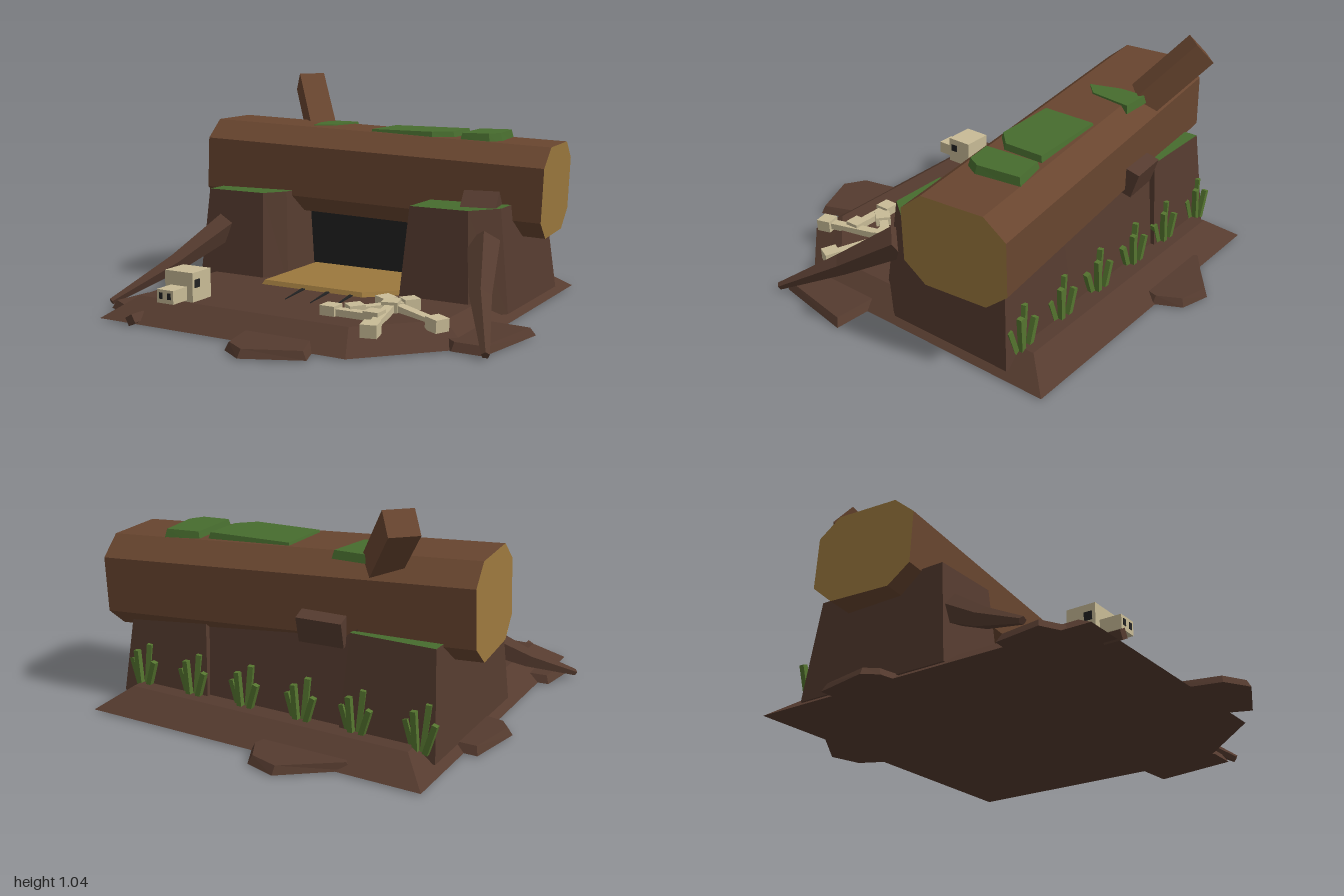
import * as THREE from 'three';

const mat = (name, color) => { const m = new THREE.MeshStandardMaterial({ color }); m.name = name; return m; };

export function createModel() {
  const bark = mat('dark bark', 0x553b2f), logBark = mat('log bark', 0x68452f);
  const wood = mat('cut wood', 0x9b783d), moss = mat('moss', 0x476c2e), grass = mat('grass', 0x55752f);
  const bone = mat('bone', 0xc8bb96), black = mat('shadow black', 0x222222);
  const root = new THREE.Group();
  root.name = 'logDen';

  const add = (name, geo, material, parent = root) => {
    const m = new THREE.Mesh(geo, material);
    m.name = name;
    parent.add(m);
    return m;
  };

  // Closed flat-faced solid through rings of equal point count; the last cap is group 1
  function loft(rings) {
    const pos = [], n = rings[0].length;
    const tri = (a, b, c) => pos.push(...a, ...b, ...c);
    for (let r = 0; r < rings.length - 1; r++) {
      const A = rings[r], B = rings[r + 1];
      for (let i = 0; i < n; i++) {
        const j = (i + 1) % n;
        tri(A[i], B[i], B[j]);
        tri(A[i], B[j], A[j]);
      }
    }
    const first = rings[0], last = rings[rings.length - 1];
    for (let i = 1; i < n - 1; i++) tri(first[0], first[i], first[i + 1]);
    const split = pos.length / 3;
    for (let i = 1; i < n - 1; i++) tri(last[0], last[i + 1], last[i]);
    const g = new THREE.BufferGeometry();
    g.setAttribute('position', new THREE.Float32BufferAttribute(pos, 3));
    g.addGroup(0, split, 0);
    g.addGroup(split, pos.length / 3 - split, 1);
    g.computeVertexNormals();
    return g;
  }

  // Upright block from a ground outline of [x, z], tapering to a second outline
  function block(name, outline, y0, y1, inset, side, top = side, upper = null) {
    const xs = outline.map(p => p[0]), zs = outline.map(p => p[1]);
    const mid = a => (Math.min(...a) + Math.max(...a)) / 2, half = a => (Math.max(...a) - Math.min(...a)) / 2;
    const cx = mid(xs), cz = mid(zs), sx = 1 - inset / half(xs), sz = 1 - inset / half(zs);
    upper = upper || outline.map(([x, z]) => [cx + (x - cx) * sx, cz + (z - cz) * sz]);
    let area = 0;
    outline.forEach(([x, z], i) => { const q = outline[(i + 1) % outline.length]; area += x * q[1] - q[0] * z; });
    const lift = (pts, y) => { const r = pts.map(([x, z]) => [x, y, z]); return area < 0 ? r.reverse() : r; };
    return add(name, loft([lift(outline, y0), lift(upper, y1)]), [side, top]);
  }

  // Straight box running from a to b
  function beam(name, a, b, w, h, material, parent = root) {
    const A = new THREE.Vector3(...a), B = new THREE.Vector3(...b);
    const m = add(name, new THREE.BoxGeometry(w, h, A.distanceTo(B)), material, parent);
    m.position.copy(A).add(B).multiplyScalar(0.5);
    m.quaternion.setFromUnitVectors(new THREE.Vector3(0, 0, 1), B.clone().sub(A).normalize());
    const look = new THREE.Matrix4().lookAt(B, A, new THREE.Vector3(0, 1, 0));
    m.quaternion.setFromRotationMatrix(look);
    return m;
  }

  // Ground mound and low slabs around it
  block('ground', [[-0.82, -0.85], [0.78, -0.85], [0.78, 0.44], [0.43, 0.8], [-0.82, 0.8]], 0, 0.09, 0, bark, bark,
    [[-0.7, -0.72], [0.66, -0.72], [0.66, 0.38], [0.37, 0.67], [-0.7, 0.67]]);
  [
    [[-0.1, 0.7], [-0.05, 0.93], [0.06, 1], [0.31, 0.89], [0.24, 0.7]],
    [[-0.5, -0.81], [-0.25, -1], [-0.11, -0.96], [-0.05, -0.84], [-0.08, -0.72], [-0.45, -0.72]],
    [[0.66, 0.09], [0.95, 0.11], [0.88, 0.5], [0.74, 0.5], [0.62, 0.4]],
    [[-0.93, -0.19], [-0.88, -0.45], [-0.7, -0.45], [-0.7, -0.1], [-0.88, -0.13]],
    [[-0.87, 0.42], [-0.9, 0.63], [-0.79, 0.69], [-0.65, 0.6], [-0.65, 0.4]],
  ].forEach(o => block('groundSlab', o, 0, 0.035, 0.02, bark));
  beam('groundTwig', [-0.63, 0.02, 0.74], [-0.63, 0.02, 0.82], 0.04, 0.04, bark).rotateZ(0.5);

  // Moss-topped stump walls on both sides, back wall with the dark opening
  block('leftStump', [[-0.79, -0.66], [-0.35, -0.66], [-0.35, 0], [-0.42, 0.11], [-0.79, 0.11]], 0.03, 0.49, 0, bark, moss,
    [[-0.76, -0.61], [-0.38, -0.61], [-0.38, -0.04], [-0.45, 0.06], [-0.76, 0.06]]);
  block('rightStump', [[0.3, -0.66], [0.76, -0.66], [0.76, -0.05], [0.64, 0.11], [0.3, 0.11]], 0.03, 0.49, 0, bark, moss,
    [[0.33, -0.61], [0.71, -0.61], [0.71, -0.07], [0.61, 0.06], [0.33, 0.06]]);
  block('backWall', [[-0.4, -0.64], [0.36, -0.64], [0.36, -0.26], [-0.4, -0.26]], 0.05, 0.5, 0, bark, bark,
    [[-0.4, -0.58], [0.36, -0.58], [0.36, -0.26], [-0.4, -0.26]]);
  add('denOpening', new THREE.BoxGeometry(0.72, 0.42, 0.008), black).position.set(-0.02, 0.29, -0.254);
  const stub = add('rightStub', new THREE.BoxGeometry(0.16, 0.1, 0.1), bark);
  stub.position.set(0.6, 0.485, -0.11);
  stub.rotation.set(0.75, 0.17, 0, 'YXZ');
  const backStub = add('backStub', new THREE.BoxGeometry(0.2, 0.12, 0.1), bark);
  backStub.position.set(-0.25, 0.49, -0.59);
  backStub.rotation.set(-0.3, 0.1, 0.05);

  // Wooden floor and claw marks
  block('denFloor', [[-0.36, -0.27], [0.31, -0.27], [0.31, 0.1], [0.18, 0.22], [-0.36, 0.22]], 0.08, 0.11, 0.015, wood);
  [-0.13, 0, 0.12].forEach(x => {
    block('clawMark', [[x - 0.012, 0.2], [x + 0.008, 0.2], [x + 0.035, 0.42]], 0.088, 0.095, 0, black);
  });

  // Fallen log: chamfered section, cut wood at both ends
  const w = 0.247, h = 0.207, cw = 0.146, ch = 0.122, len = 1.7;
  const section = new THREE.Shape([[w, -ch], [w, ch], [cw, h], [-cw, h], [-w, ch], [-w, -ch], [-cw, -h], [cw, -h]]
    .map(p => new THREE.Vector2(...p)));
  const logGeo = new THREE.ExtrudeGeometry(section, { depth: len, bevelEnabled: false });
  logGeo.translate(0, 0, -len / 2);
  logGeo.rotateY(Math.PI / 2);
  const log = add('fallenLog', logGeo, [wood, logBark]);
  log.position.set(-0.02, 0.571, -0.368);
  log.rotation.set(0, 0.095, -0.041, 'YZX');
  beam('brokenBranch', [-0.4, 0.68, -0.43], [-0.63, 0.985, -0.665], 0.13, 0.12, logBark);

  // Moss pads on the log
  block('logMoss', [[-0.04, -0.51], [0.37, -0.53], [0.37, -0.33], [0.29, -0.25], [-0.04, -0.24]], 0.74, 0.79, 0.012, moss);
  block('logMoss', [[0.39, -0.55], [0.57, -0.58], [0.6, -0.36], [0.56, -0.29], [0.41, -0.27]], 0.72, 0.79, 0.018, moss);
  block('logMoss', [[-0.41, -0.53], [-0.25, -0.53], [-0.28, -0.32], [-0.36, -0.25], [-0.41, -0.4]], 0.76, 0.796, 0.008, moss);

  // Tapering roots leaning out from the stumps
  function taperedRoot(name, stations) {
    const pts = stations.map(s => new THREE.Vector3(...s));
    const dir = pts[2].clone().sub(pts[0]).normalize();
    const u = new THREE.Vector3(0, 1, 0).cross(dir).normalize(), v = dir.clone().cross(u);
    const rings = pts.map((p, k) => Array.from({ length: 5 }, (_, i) => {
      const a = Math.PI / 2 - i * Math.PI * 0.4, r = stations[k][3];
      return p.clone().addScaledVector(u, Math.cos(a) * r).addScaledVector(v, Math.sin(a) * r).toArray();
    }));
    rings.forEach(r => r.reverse());
    const g = loft(rings.reverse());
    return add(name, g, [bark, bark]);
  }
  taperedRoot('leftRoot', [[-0.67, 0.32, 0.03, 0.07], [-0.79, 0.16, 0.3, 0.045], [-0.94, 0.015, 0.59, 0.016]]);
  taperedRoot('rightRoot', [[0.66, 0.34, 0.0, 0.075], [0.76, 0.17, 0.26, 0.05], [0.9, 0.015, 0.53, 0.018]]);

  // Animal skull
  const skull = new THREE.Group();
  skull.name = 'skull';
  root.add(skull);
  const box = (name, x, y, z, sx, sy, sz, m) => add(name, new THREE.BoxGeometry(sx, sy, sz), m, skull).position.set(x, y, z);
  box('cranium', -0.488, 0.155, 0.595, 0.15, 0.13, 0.13, bone);
  box('snout', -0.488, 0.127, 0.7, 0.088, 0.06, 0.11, bone);
  for (const s of [-1, 1]) {
    box('eyeSocket', -0.488 + s * 0.075, 0.17, 0.628, 0.006, 0.036, 0.036, black);
    box('nostril', -0.488 + s * 0.022, 0.13, 0.755, 0.018, 0.028, 0.005, black);
  }

  // Scattered bones with knobbed ends
  [
    [[0.205, 0.105, 0.53], [0.41, 0.105, 0.53]],
    [[0.45, 0.11, 0.285], [0.29, 0.105, 0.475]],
    [[0.35, 0.11, 0.31], [0.655, 0.09, 0.45]],
    [[0.4, 0.11, 0.36], [0.47, 0.095, 0.67]],
  ].forEach(([a, b]) => {
    const g = new THREE.Group();
    g.name = 'looseBone';
    root.add(g);
    const shaft = beam('boneShaft', a, b, 0.042, 0.03, bone, g);
    [a, b].forEach(p => {
      const knob = add('boneKnob', new THREE.BoxGeometry(0.07, 0.055, 0.07), bone, g);
      knob.position.set(...p);
      knob.quaternion.copy(shaft.quaternion);
    });
  });

  // Grass tufts along the back
  [0.65, 0.38, 0.11, -0.17, -0.43, -0.72].forEach(x => {
    const tuft = new THREE.Group();
    tuft.name = 'grassTuft';
    tuft.position.set(x, 0.07, -0.655);
    root.add(tuft);
    [[-0.03, -0.07, 0.13], [-0.01, -0.03, 0.2], [0.012, 0.025, 0.17], [0.03, 0.07, 0.12]].forEach(([x0, x1, y], i) =>
      beam('grassBlade', [x0, 0, i % 2 ? 0.01 : -0.01], [x1, y, i % 2 ? 0.015 : -0.01], 0.024, 0.024, grass, tuft));
  });
  return root;
}
